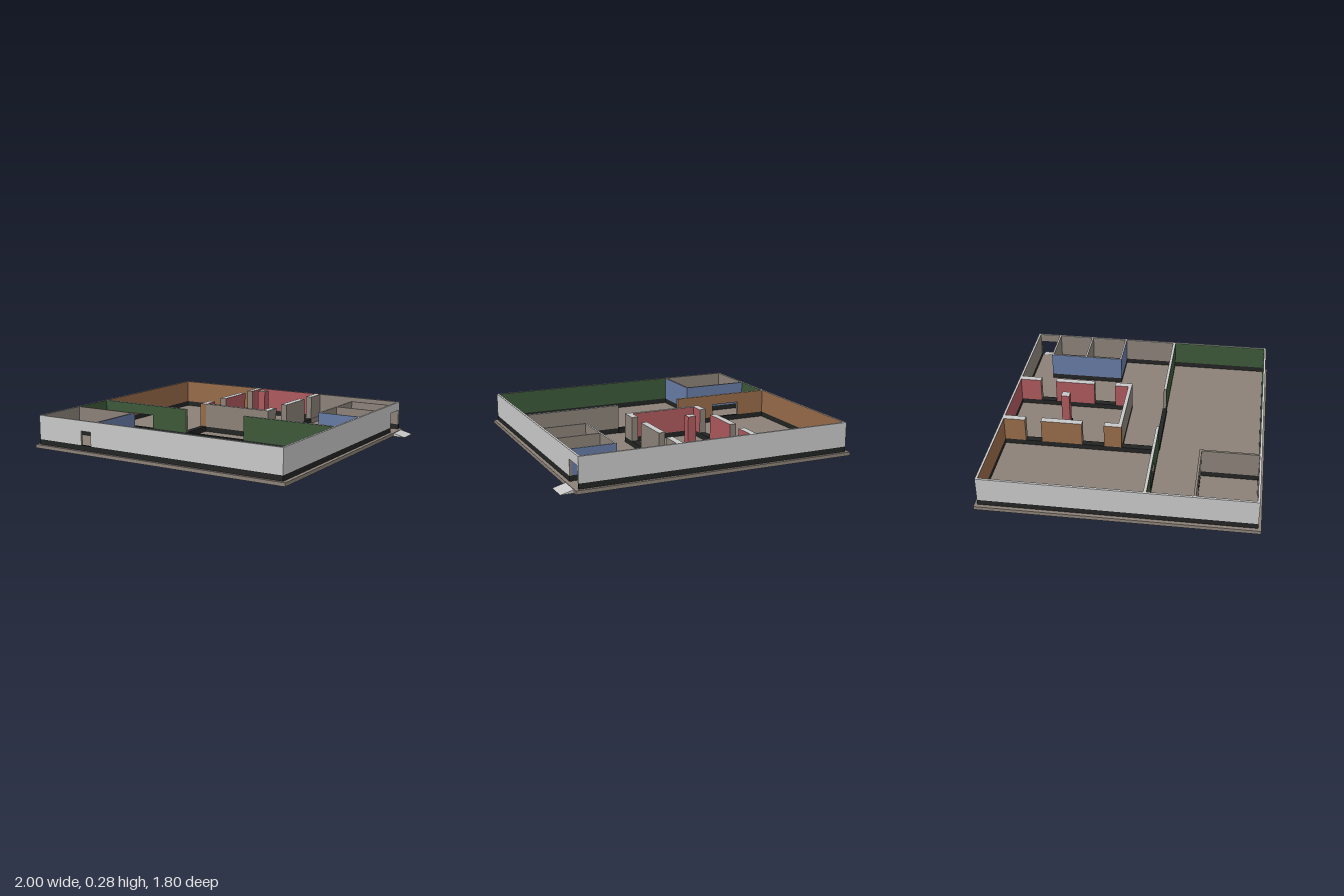
import * as THREE from 'three';

const mat = (name, color) => new THREE.MeshStandardMaterial({ name, color });

export function createModel() {
  const light = mat('light paint', 0xc8c8c8);
  const black = mat('black base', 0x222423);
  const taupe = mat('taupe', 0x8b8178);
  const orange = mat('orange paint', 0x966a48);
  const red = mat('red paint', 0xac585d);
  const green = mat('green paint', 0x3c5838);
  const blue = mat('blue paint', 0x667aa5);

  const root = new THREE.Group();
  const FLOOR = 0.025, BASE = 0.06, TOP = 0.225, DOOR = 0.155;

  // Box given by its limits; material may be an array in the order +x -x +y -y +z -z
  const box = (name, x0, x1, y0, y1, z0, z1, material) => {
    const m = new THREE.Mesh(new THREE.BoxGeometry(x1 - x0, y1 - y0, z1 - z0), material);
    m.name = name;
    m.position.set((x0 + x1) / 2, (y0 + y1) / 2, (z0 + z1) / 2);
    root.add(m);
    return m;
  };
  // Wall above the base strip, with a colour per side
  const wall = (name, x0, x1, z0, z1, c = {}, y0 = BASE, y1 = TOP) => {
    const { px = taupe, nx = taupe, pz = taupe, nz = taupe, top = light } = c;
    return box(name, x0, x1, y0, y1, z0, z1, [px, nx, top, taupe, pz, nz]);
  };
  // Base strip, which runs on through the openings and down through the slab
  const base = (x0, x1, z0, z1) => box('baseStrip', x0, x1, 0, BASE, z0, z1, black);

  // Floor slab and entrance ramp
  box('floorSlab', -1, 0.915, 0.001, FLOOR, -0.9, 0.9, taupe);
  const wedge = new THREE.Shape([
    new THREE.Vector2(0.915, 0), new THREE.Vector2(1, 0), new THREE.Vector2(0.915, 0.022)]);
  const ramp = new THREE.Mesh(
    new THREE.ExtrudeGeometry(wedge, { depth: 0.145, bevelEnabled: false }), light);
  ramp.name = 'entranceRamp';
  ramp.position.z = -0.865;
  root.add(ramp);

  // Outer limits and wall thickness
  const L = -0.975, R = 0.89, B = -0.88, F = 0.88, T = 0.015;
  const IL = L + T, IR = R - T, IB = B + T, IF = F - T;

  // Back wall, one colour for each room
  base(L, R, B, IB);
  [[L, -0.3, orange], [-0.3, 0.23, red], [0.23, R, taupe]].forEach(([a, b, c]) =>
    wall('backWall', a, b, B, IB, { nz: light, pz: c, px: light, nx: light }));

  // Left wall
  base(L, IL, IB, IF);
  [[IB, 0.18, orange], [0.18, 0.485, green], [0.485, IF, taupe]].forEach(([a, b, c]) =>
    wall('leftWall', L, IL, a, b, { nx: light, px: c }));

  // Front wall with a window opening
  base(L, R, IF, F);
  const frontSides = (c) => ({ pz: light, nz: c, px: light, nx: light });
  wall('frontWall', L, -0.615, IF, F, { ...frontSides(taupe), px: taupe });
  wall('windowLintel', -0.615, -0.535, IF, F, frontSides(taupe), DOOR);
  wall('frontWall', -0.535, -0.485, IF, F, { ...frontSides(taupe), nx: taupe });
  wall('frontWall', -0.485, R, IF, F, frontSides(green));

  // Right wall with the entrance doorway
  base(IR, R, -0.72, IF);
  wall('rightWall', IR, R, 0.18, IF, { px: light, nx: green });
  wall('rightWall', IR, R, -0.72, 0.18, { px: light });
  wall('doorLintel', IR, R, -0.86, -0.72, { px: light }, 0.165);
  wall('rightWall', IR, R, IB, -0.86, { px: light });

  // Cross wall: green to the front, with a doorway and a wide gap
  const z0 = 0.17, z1 = 0.19;
  base(IL, IR, z0, z1);
  base(-0.255, 0.21, z0 - 0.005, z1 + 0.005);
  const cross = { pz: green, nz: orange };
  wall('crossWall', IL, -0.75, z0, z1, cross);
  wall('doorLintel', -0.75, -0.54, z0, z1, cross, DOOR);
  wall('crossWall', -0.54, -0.255, z0, z1, cross);
  wall('crossWall', 0.21, IR, z0, z1, { pz: green });

  // Central red room: two broken side walls and a front wall
  const pieces = [[IB, -0.72], [-0.61, -0.33], [-0.18, -0.06]];
  base(-0.3, -0.255, IB, z0);
  base(0.21, 0.255, IB, -0.06);
  pieces.forEach(([a, b], i) => {
    wall('centralLeftWall', -0.3, -0.255, a, b,
      { px: red, nx: orange, pz: i === 2 ? orange : taupe });
    wall('centralRightWall', 0.21, 0.255, a, b, { nx: red });
  });
  box('entrancePanel', 0.255, 0.258, FLOOR, BASE, IB, -0.72, taupe);
  base(-0.255, 0.21, -0.085, -0.06);
  wall('centralFrontWall', -0.255, 0.21, -0.085, -0.06, { nz: red });

  // Column
  box('columnBase', -0.06, 0.008, 0, BASE, -0.522, -0.454, black);
  wall('column', -0.054, 0.002, -0.516, -0.46,
    { px: red, nx: red, pz: red, nz: red }, BASE, 0.28);

  // Front corner room: blue outside, with a small doorway
  const bz0 = 0.478, bz1 = 0.493, bx0 = -0.495, bx1 = -0.48;
  base(IL, bx1, bz0, bz1);
  base(bx0, bx1, bz1, IF);
  const corner = { nz: blue, top: taupe };
  wall('cornerRoomBackWall', IL, -0.7, bz0, bz1, corner);
  wall('cornerRoomLintel', -0.7, -0.605, bz0, bz1, corner, 0.125);
  wall('cornerRoomBackWall', -0.605, bx1, bz0, bz1, { ...corner, px: blue });
  wall('cornerRoomSideWall', bx0, bx1, bz1, IF, { px: blue, top: taupe });

  // Two small rooms on the right: blue outside
  const sx = 0.58, st = 0.012;
  [[-0.715, { nz: blue, nx: blue }], [-0.461, { nx: blue }], [-0.2, { pz: blue, nx: blue }]]
    .forEach(([z, c]) => {
      base(sx, IR, z, z + st);
      wall('smallRoomWall', sx, IR, z, z + st, c);
    });
  [[-0.703, -0.461], [-0.449, -0.2]].forEach(([a, b]) => {
    base(sx, sx + st, a, b);
    wall('smallRoomSideWall', sx, sx + st, a, b, { nx: blue });
  });

  return root;
}
